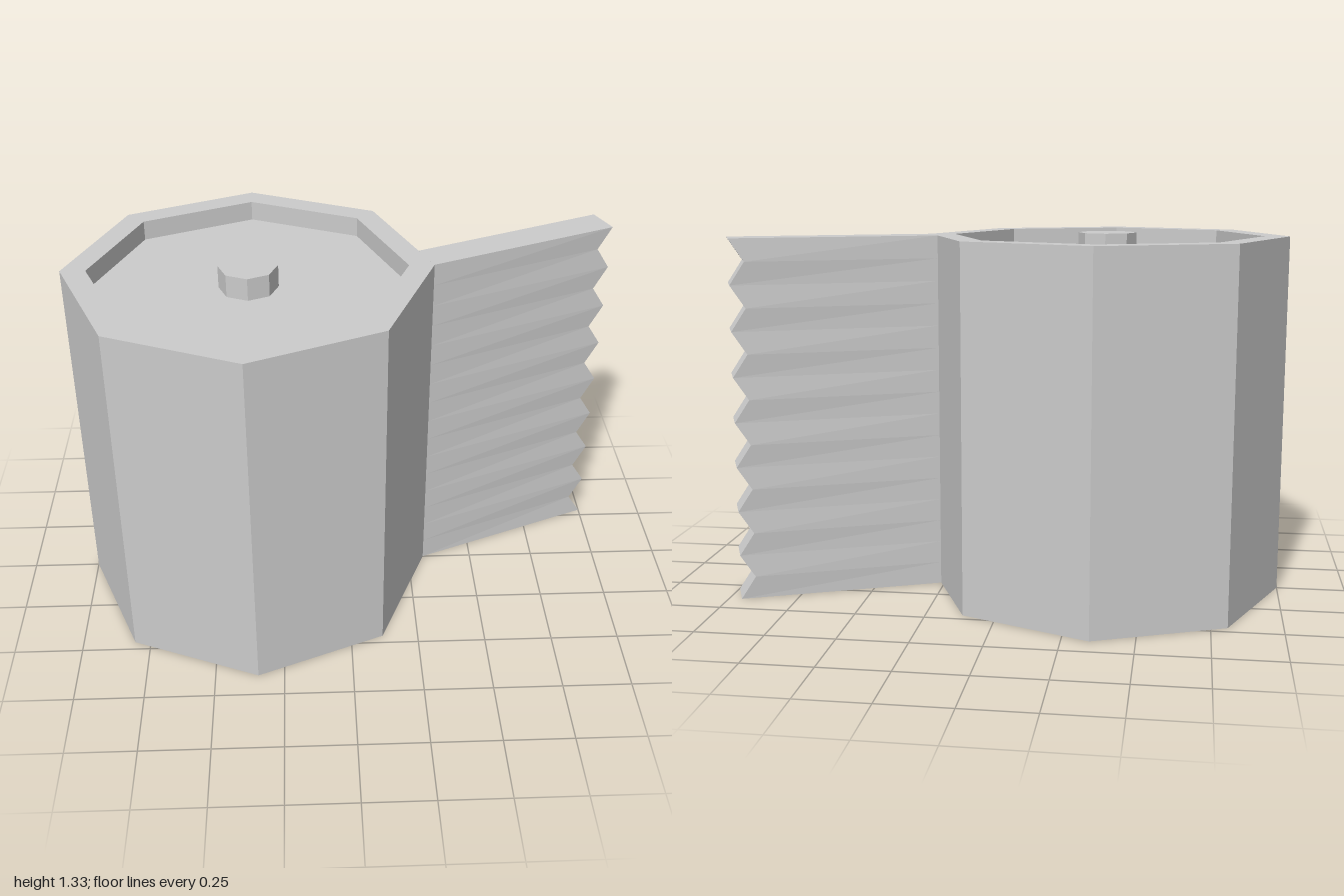
import * as THREE from 'three';

const HEIGHT = 1.315;
const CENTER_X = -0.345;
const FLOOR_TOP = 1.242, FLOOR_BOTTOM = 0.135;

const material = new THREE.MeshStandardMaterial({ color: 0xcccccc, flatShading: true });

function addMesh(parent, name, geometry) {
  const mesh = new THREE.Mesh(geometry, material);
  mesh.name = name;
  parent.add(mesh);
  return mesh;
}

// Octagonal drum with a shallow recess at the top and a deeper one below
function drumGeometry() {
  const profile = [
    [0, FLOOR_BOTTOM], [0.565, FLOOR_BOTTOM], [0.565, 0], [0.655, 0],
    [0.655, HEIGHT], [0.565, HEIGHT], [0.565, FLOOR_TOP], [0, FLOOR_TOP],
  ].map(([r, y]) => new THREE.Vector2(r, y));
  return new THREE.LatheGeometry(profile, 8);
}

// Spindle stub between two heights
function spindle(parent, name, y0, y1) {
  const geometry = new THREE.CylinderGeometry(0.106, 0.106, y1 - y0, 8);
  addMesh(parent, name, geometry).position.set(CENTER_X, (y0 + y1) / 2, 0);
}

// Loose strip: stacked four-corner sections whose free end zigzags in and out
function stripGeometry(teeth) {
  const positions = [];
  const quad = (a, b, c, d) => positions.push(...a, ...b, ...c, ...a, ...c, ...d);
  const rows = [];
  for (let i = 0; i <= teeth * 2; i++) {
    const y = (i / (teeth * 2)) * HEIGHT;
    const [dx, dz] = i % 2 ? [-0.051, 0.0155] : [0, 0];
    rows.push([
      [0.31, y, 0],
      [1.0 + dx, y, -0.285 + dz],
      [0.952 + dx, y, -0.4 + dz],
      [0.263, y, -0.114],
    ]);
  }
  for (let i = 0; i < rows.length - 1; i++) {
    for (let k = 0; k < 4; k++) {
      const n = (k + 1) % 4;
      quad(rows[i][k], rows[i][n], rows[i + 1][n], rows[i + 1][k]);
    }
  }
  quad(...rows[rows.length - 1]);
  quad(...[...rows[0]].reverse());
  const geometry = new THREE.BufferGeometry();
  geometry.setAttribute('position', new THREE.Float32BufferAttribute(positions, 3));
  geometry.computeVertexNormals();
  return geometry;
}

export function createModel() {
  const model = new THREE.Group();
  model.name = 'tapeRoll';
  addMesh(model, 'drum', drumGeometry()).position.x = CENTER_X;
  spindle(model, 'topSpindle', FLOOR_TOP - 0.01, 1.325);
  spindle(model, 'bottomSpindle', 0.033, FLOOR_BOTTOM + 0.01);
  addMesh(model, 'looseStrip', stripGeometry(8));
  return model;
}
